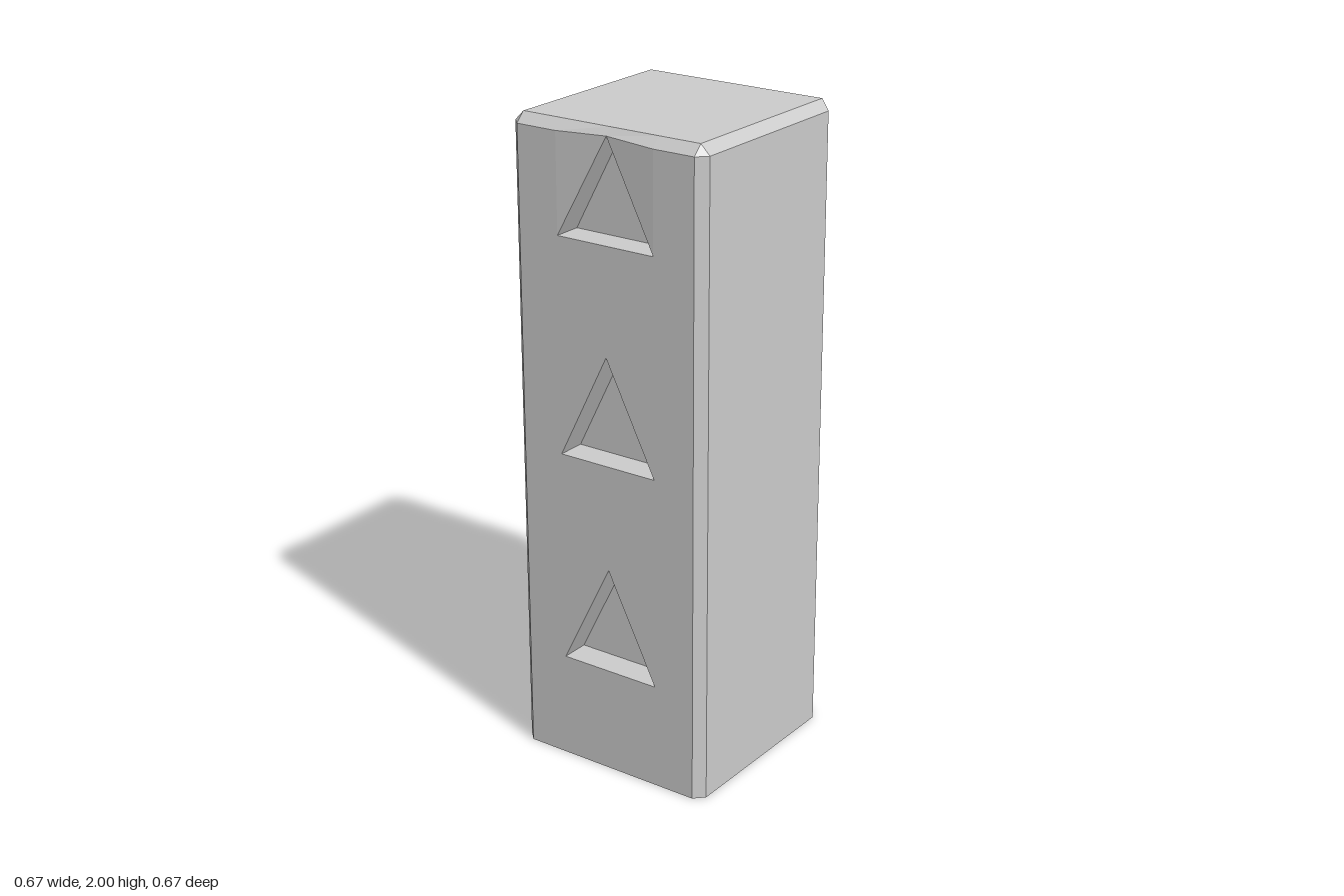
import * as THREE from 'three';

const H = 2, W = 0.333, IN = 0.303, SH = 1.97;   // height, half width, top half width, shoulder height
const CF = 0.303, CB = 0.29;                     // front and back corner chamfer starts
const TX = 0.167, TH = 0.335, DEPTH = 0.09;      // triangular recess half width, height, depth
const BASES = [0.333, 1.0, 1.667];
const APEX = [0, 1.977, 0.32];                   // top recess tip, bitten into the bevel

const material = new THREE.MeshStandardMaterial({ color: 0xcccccc, flatShading: true });

// Flat-shaded mesh from convex faces (counter-clockwise corner lists)
function facetMesh(name, faces) {
  const pos = [];
  for (const f of faces)
    for (let i = 1; i < f.length - 1; i++) pos.push(...f[0], ...f[i], ...f[i + 1]);
  const geo = new THREE.BufferGeometry();
  geo.setAttribute('position', new THREE.Float32BufferAttribute(pos, 3));
  geo.computeVertexNormals();
  const mesh = new THREE.Mesh(geo, material);
  mesh.name = name;
  return mesh;
}

// Chamfered shaft with bevelled cap; the front wall is left open for the pierced panel
function makeBody() {
  const ring = [
    [-CF, SH, W], [-TX, SH, W], APEX, [TX, SH, W], [CF, SH, W],
    [W, SH, CF], [W, SH, -CB], [CB, SH, -W], [-CB, SH, -W], [-W, SH, -CB], [-W, SH, CF],
  ];
  const inset = (v) => (Math.abs(v) > 0.2 ? Math.sign(v) * IN : v);
  const top = ring.map(([x, , z]) => [inset(x), H, inset(z)]);
  const foot = ring.map(([x, , z]) => [x, 0, z]);
  foot[2] = [0, 0, W];
  const faces = [];
  ring.forEach((a, i) => {
    const j = (i + 1) % ring.length;
    faces.push([a, ring[j], top[j], top[i]]);
    if (i > 3) faces.push([foot[i], foot[j], ring[j], a]);
  });
  faces.push([[-IN, H, IN], [IN, H, IN], [IN, H, -IN], [-IN, H, -IN]]);
  faces.push([...foot].reverse());
  // Tilted facets either side of the top recess tip
  const y = BASES[2];
  faces.push([[TX, y, W], [TX, SH, W], APEX], [[-TX, y, W], APEX, [-TX, SH, W]]);
  return facetMesh('body', faces);
}

// Front panel pierced by the two lower triangles and notched for the top one
function makeFrontPanel() {
  const v = (x, y) => new THREE.Vector2(x, y);
  const y = BASES[2];
  const shape = new THREE.Shape([
    v(-CF, 0), v(CF, 0), v(CF, SH), v(TX, SH), v(TX, y), v(-TX, y), v(-TX, SH), v(-CF, SH),
  ]);
  for (const b of BASES.slice(0, 2))
    shape.holes.push(new THREE.Path([v(-TX, b), v(0, b + TH), v(TX, b)]));
  const mesh = new THREE.Mesh(new THREE.ShapeGeometry(shape).translate(0, 0, W), material);
  mesh.name = 'frontPanel';
  return mesh;
}

// Sunken triangle: three inward walls and a floor
function makeRecess(base, tip) {
  const rim = [[-TX, base, W], [TX, base, W], tip];
  const floor = rim.map(([x, y]) => [x, y, W - DEPTH]);
  const faces = [floor];
  rim.forEach((a, i) => {
    const j = (i + 1) % 3;
    faces.push([a, rim[j], floor[j], floor[i]]);
  });
  return facetMesh('triangleRecess', faces);
}

export function createModel() {
  const group = new THREE.Group();
  group.name = 'pillar';
  group.add(makeBody(), makeFrontPanel());
  BASES.forEach((b, i) => group.add(makeRecess(b, i === 2 ? APEX : [0, b + TH, W])));
  return group;
}
